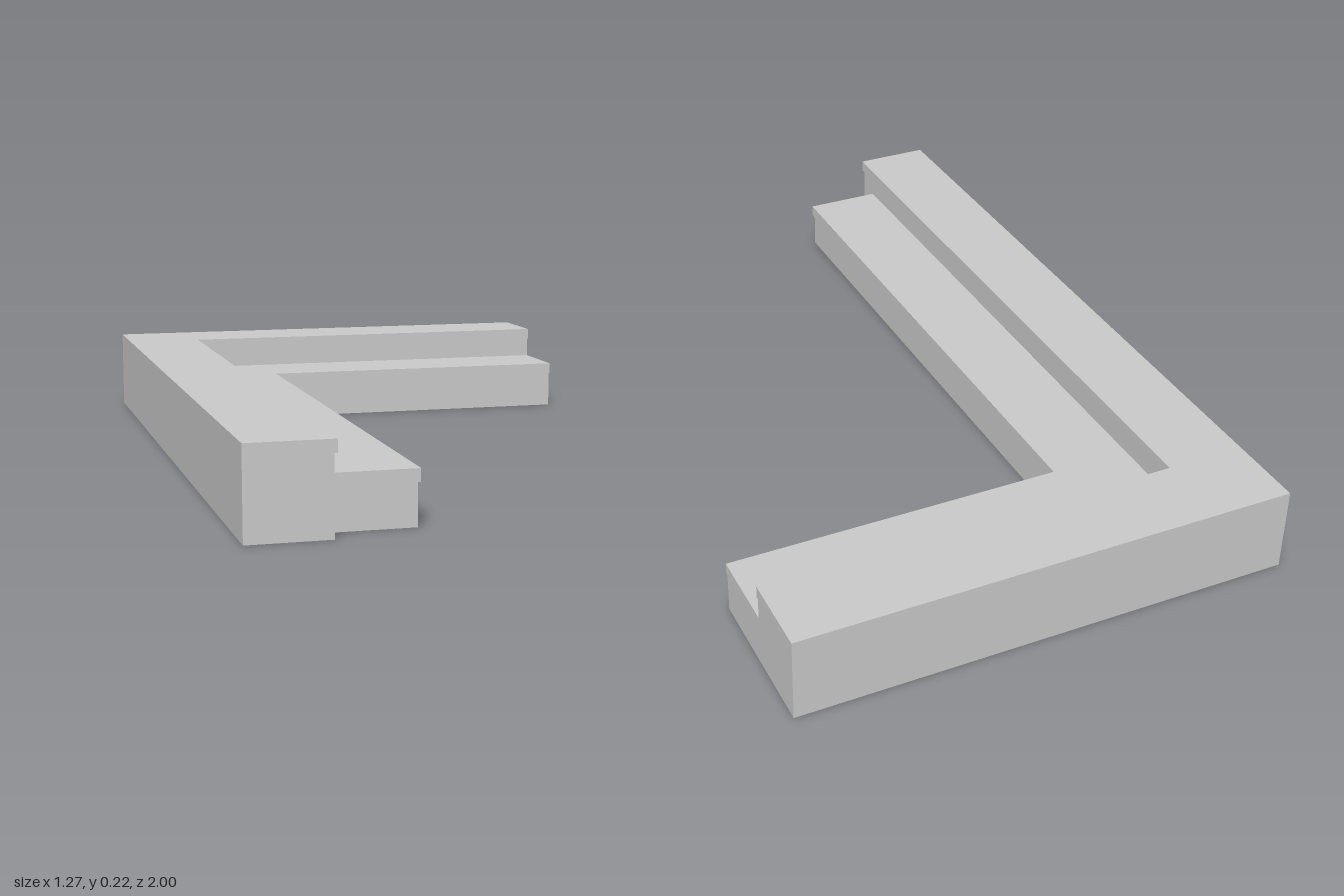
import * as THREE from 'three';

const END_X = 0.633; // shared end of the short arm

// L-shaped band between an outer and an inner corner, raised from y0 to y1
function band(name, [xo, zo], [xi, zi], endZ, y0, y1, material) {
  const outline = [[xo, zo], [xo, endZ], [xi, endZ], [xi, zi], [END_X, zi], [END_X, zo]];
  const shape = new THREE.Shape(outline.map(([x, z]) => new THREE.Vector2(x, -z)));
  const geometry = new THREE.ExtrudeGeometry(shape, { depth: y1 - y0, bevelEnabled: false });
  geometry.rotateX(-Math.PI / 2).translate(0, y0, 0);
  const mesh = new THREE.Mesh(geometry, material);
  mesh.name = name;
  return mesh;
}

export function createModel() {
  const group = new THREE.Group();
  group.name = 'cornerSteps';
  const material = new THREE.MeshStandardMaterial({ color: 0xcccccc });

  const outer = [-0.633, -1];
  const riserEdge = [-0.437, -0.804]; // face of the upper riser
  const lip = 0.007; // overhang of each tread

  // Upper step: riser and overhanging tread
  group.add(band('upperRiser', outer, riserEdge, 1, 0, 0.185, material));
  group.add(band('upperTread', outer, riserEdge.map((v) => v + lip), 1, 0.185, 0.215, material));

  // Lower step: set against the upper riser, slightly shorter at the front
  const lowerEdge = riserEdge.map((v) => v + 0.2);
  group.add(band('lowerRiser', riserEdge, lowerEdge, 0.935, 0, 0.1, material));
  group.add(band('lowerTread', riserEdge, lowerEdge.map((v) => v + lip), 0.935, 0.1, 0.13, material));

  return group;
}
